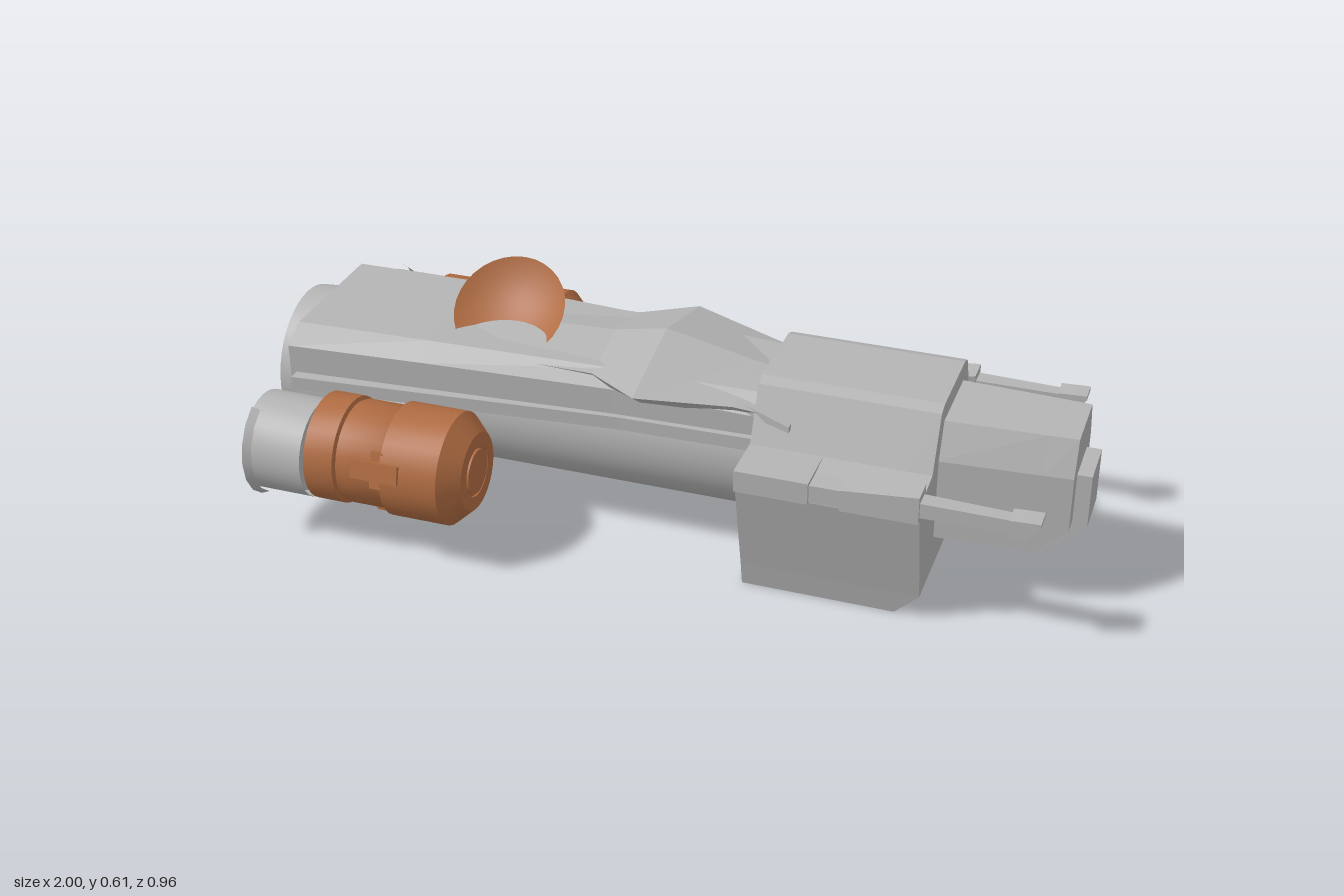
import * as THREE from 'three';
import { toCreasedNormals } from 'three/addons/utils/BufferGeometryUtils.js';

const grey = new THREE.MeshStandardMaterial({ color: 0xb4b4b4, side: THREE.DoubleSide });
grey.name = 'hullGrey';
const brown = new THREE.MeshStandardMaterial({ color: 0xb06c42, side: THREE.DoubleSide });
brown.name = 'copperBrown';

function add(parent, name, geo, mat = grey, pos = [0, 0, 0]) {
  const m = new THREE.Mesh(geo, mat);
  m.name = name;
  m.position.set(...pos);
  parent.add(m);
  return m;
}

// Faceted solid along x; each section is [x, [[z, y], ...]]
function loft(sections) {
  const v = [];
  const rings = sections.map(([x, pts]) => pts.map(([z, y]) => [x, y, z]));
  const n = rings[0].length;
  const mid = r => [0, 1, 2].map(k => r.reduce((s, p) => s + p[k], 0) / n);
  for (let i = 0; i < n; i++) {
    const j = (i + 1) % n;
    for (let s = 0; s < rings.length - 1; s++) {
      const a = rings[s][i], b = rings[s][j], c = rings[s + 1][j], d = rings[s + 1][i];
      v.push(...a, ...d, ...c, ...a, ...c, ...b);
    }
    const r0 = rings[0], r1 = rings[rings.length - 1];
    v.push(...mid(r0), ...r0[i], ...r0[j], ...mid(r1), ...r1[j], ...r1[i]);
  }
  const g = new THREE.BufferGeometry();
  g.setAttribute('position', new THREE.Float32BufferAttribute(v, 3));
  g.computeVertexNormals();
  return g;
}

// Full symmetric outline from its +z half, listed bottom to top
const mirror = half => [...half, ...half.slice().reverse().map(([z, y]) => [-z, y])];
// Rectangle outline between two z and two y values
const rect = (z0, z1, y0, y1) => [[z1, y0], [z1, y1], [z0, y1], [z0, y0]];

// Turned solid along x from [x, radius] points
function turned(points, sides = 32) {
  const g = new THREE.LatheGeometry(points.map(([x, r]) => new THREE.Vector2(r, x)), sides);
  g.rotateZ(-Math.PI / 2);
  return toCreasedNormals(g, 0.5);
}

function buildHull(root) {
  add(root, 'lowerHull', turned([[-0.93, 0], [-0.93, 0.18], [0.25, 0.18], [0.25, 0]], 40), grey, [0, 0.28, 0]);

  // Tapering upper deck with upright sides and bevelled shoulders
  const deck = (x, w, edge, t, top) => [x, mirror([[w, 0.345], [w, edge], [t, top]])];
  add(root, 'upperDeck', loft([
    deck(-0.935, 0.232, 0.43, 0.17, 0.465), deck(-0.59, 0.207, 0.43, 0.165, 0.47),
    deck(-0.12, 0.172, 0.425, 0.14, 0.465), deck(0.25, 0.16, 0.41, 0.12, 0.455),
  ]));

  // Raised ridge that spreads into pointed shoulders
  const ridge = (x, w, edge, top) => [x, [[w * 0.78, edge - 0.04], [w, edge], [0, top], [-w, edge], [-w * 0.78, edge - 0.04]]];
  add(root, 'deckRidge', loft([
    ridge(-0.59, 0.16, 0.455, 0.472), ridge(-0.17, 0.165, 0.455, 0.49),
    ridge(-0.04, 0.245, 0.455, 0.515), ridge(0.18, 0.175, 0.435, 0.468), ridge(0.33, 0.15, 0.41, 0.44),
  ]));

  // Long side rails and swept shoulder fins
  for (const s of [1, -1]) {
    const rail = (x, z) => [x, rect(s * z - 0.022, s * z + 0.022, 0.327, 0.36)];
    add(root, 'sideRail', loft([rail(-0.92, 0.238), rail(-0.1, 0.163), rail(0.24, 0.155)]));
    add(root, 'shoulderFin', loft([
      [0.1, rect(s * 0.12 - 0.005, s * 0.12 + 0.005, 0.42, 0.452)],
      [0.32, rect(s * 0.175 - 0.015, s * 0.175 + 0.015, 0.4, 0.415)],
    ]));
  }

  // Main exhaust: open ring with a rounded slot frame inside
  add(root, 'mainExhaust', turned([[-0.92, 0.183], [-1, 0.178], [-1, 0.168], [-0.935, 0.165]], 40), grey, [0, 0.28, 0]);
  const slot = (w, h, r, S) => {
    const s = new S();
    s.absarc(w - r, h - r, r, 0, Math.PI / 2);
    s.absarc(r - w, h - r, r, Math.PI / 2, Math.PI);
    s.absarc(r - w, r - h, r, Math.PI, Math.PI * 1.5);
    s.absarc(w - r, r - h, r, Math.PI * 1.5, Math.PI * 2);
    return s;
  };
  const frame = slot(0.075, 0.14, 0.06, THREE.Shape);
  frame.holes.push(slot(0.055, 0.12, 0.045, THREE.Path));
  const frameGeo = new THREE.ExtrudeGeometry(frame, { depth: 0.04, bevelEnabled: false, curveSegments: 6 });
  add(root, 'exhaustSlot', frameGeo.rotateY(Math.PI / 2), grey, [-0.97, 0.28, 0]);
}

function buildFrontModule(root) {
  // Big forward block with a bevelled lower front edge
  const block = (x, y0, z0) => [x, mirror([
    [z0, y0], [0.253, 0.065], [0.308, 0.3], [0.305, 0.345], [0.195, 0.357], [0.135, 0.485], [0.105, 0.495],
  ])];
  add(root, 'frontBlock', loft([block(0.23, 0, 0.24), block(0.6, 0, 0.24), block(0.66, 0.064, 0.2525)]));

  // Nose, narrowing forward
  const nose = (x, low, k) => [x, mirror([[0.135 * k, low], [0.135 * k, 0.36], [0.1 * k, 0.448]])];
  add(root, 'nose', loft([nose(0.65, 0.155, 1), nose(0.895, 0.155, 0.88), nose(0.965, 0.222, 0.84)]));

  // Strip wrapping the nose front and chin
  const chin = new THREE.Shape([
    [0.65, 0.12], [0.9, 0.12], [1, 0.21], [1, 0.345], [0.95, 0.345], [0.95, 0.23], [0.88, 0.165], [0.65, 0.165],
  ].map(p => new THREE.Vector2(...p)));
  add(root, 'chinStrip', new THREE.ExtrudeGeometry(chin, { depth: 0.13, bevelEnabled: false }), grey, [0, 0, -0.065]);

  // Stepped side rails carrying the forward prongs
  for (const s of [1, -1]) {
    const bar = (x, a, b, y0, y1) => [x, rect(Math.min(s * a, s * b), Math.max(s * a, s * b), y0, y1)];
    add(root, 'railRear', loft([bar(0.23, 0.2, 0.322, 0.304, 0.358), bar(0.405, 0.2, 0.322, 0.304, 0.358)]));
    add(root, 'railMiddle', loft([bar(0.405, 0.2, 0.314, 0.308, 0.35), bar(0.48, 0.2, 0.314, 0.308, 0.35)]));
    add(root, 'railFront', loft([bar(0.48, 0.2, 0.324, 0.304, 0.358), bar(0.66, 0.26, 0.324, 0.305, 0.374)]));
    add(root, 'prong', loft([bar(0.66, 0.272, 0.315, 0.318, 0.355), bar(0.86, 0.277, 0.312, 0.318, 0.352)]));
    add(root, 'prongTip', loft([bar(0.86, 0.27, 0.323, 0.308, 0.358), bar(0.9, 0.27, 0.323, 0.312, 0.36), bar(0.93, 0.27, 0.323, 0.35, 0.361)]));
  }
}

function buildEngine(root, side) {
  const e = new THREE.Group();
  e.name = side > 0 ? 'rightEngine' : 'leftEngine';
  e.position.set(0, 0.238, side * 0.335);
  e.scale.z = side;
  root.add(e);
  add(e, 'engineBody', turned([
    [-0.8, 0], [-0.8, 0.11], [-0.79, 0.131], [-0.715, 0.131], [-0.71, 0.122], [-0.7, 0.122], [-0.7, 0.126],
    [-0.6, 0.126], [-0.59, 0.121], [-0.59, 0.138], [-0.445, 0.138], [-0.4, 0.096], [-0.4, 0.062],
    [-0.406, 0.062], [-0.406, 0.055], [-0.398, 0.055], [-0.398, 0],
  ]), brown);
  add(e, 'engineNozzle', turned([[-0.8, 0.12], [-0.95, 0.12], [-0.95, 0.114], [-0.82, 0.108], [-0.82, 0]]), grey, [0, -0.005, 0.013]);
  // Curved guard plate around the outer nozzle lip
  const guard = new THREE.CylinderGeometry(0.132, 0.14, 0.02, 6, 1, true, -1.05, 2.1).rotateZ(-Math.PI / 2);
  add(e, 'nozzleGuard', guard, grey, [-0.935, -0.005, 0.006]);
  // Flat clamps on the outer and lower faces
  for (const a of [-0.27, Math.PI / 2]) {
    const clamp = new THREE.Group();
    clamp.name = 'clamp';
    clamp.rotation.x = a;
    e.add(clamp);
    add(clamp, 'clampBar', new THREE.BoxGeometry(0.12, 0.045, 0.022), brown, [-0.6, 0, 0.135]);
    add(clamp, 'clampRidge', new THREE.BoxGeometry(0.03, 0.09, 0.012), brown, [-0.6, 0, 0.126]);
  }
  add(e, 'enginePylon', new THREE.BoxGeometry(0.22, 0.06, 0.12), grey, [-0.63, 0.03, -0.14]);
}

function buildDish(root) {
  // Shallow bowl, tilted and partly sunk into the deck
  const R = 0.26, rim = 0.14;
  const half = Math.asin(rim / R);
  const bowl = new THREE.SphereGeometry(R, 32, 8, 0, Math.PI * 2, Math.PI - half, half);
  bowl.translate(0, R * Math.cos(half), 0);
  const dish = add(root, 'dish', bowl, brown, [-0.435, 0.517, 0.03]);
  dish.rotation.x = 0.68;
}

export function createModel() {
  const root = new THREE.Group();
  root.name = 'spaceship';
  buildHull(root);
  buildFrontModule(root);
  for (const side of [1, -1]) buildEngine(root, side);
  buildDish(root);
  return root;
}
